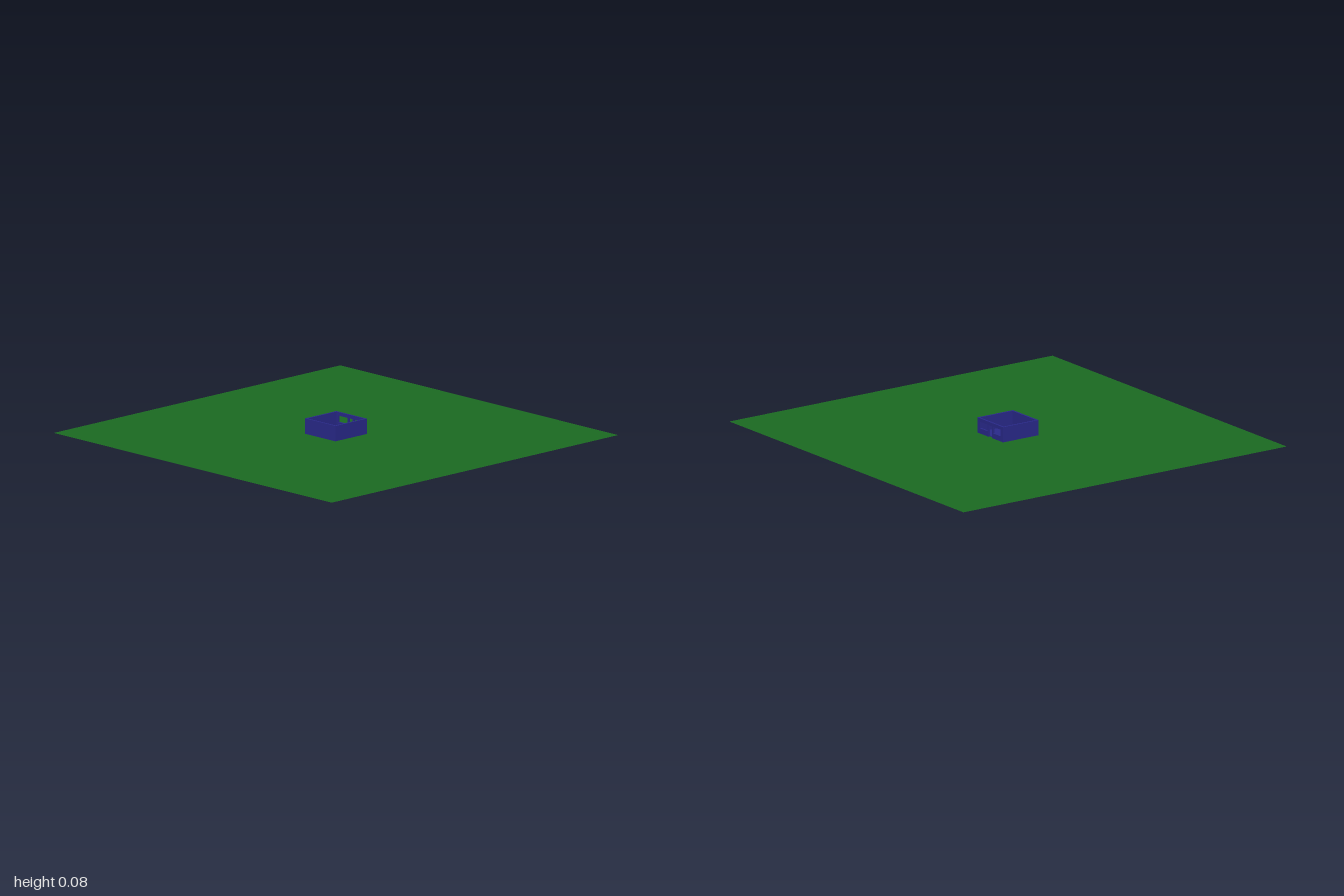
import * as THREE from 'three';

const SIZE = 0.22, HEIGHT = 0.08, WALL = 0.01, BASE = 0.001;

export function createModel() {
  const model = new THREE.Group();
  const green = new THREE.MeshStandardMaterial({ color: 0x1b6b22, side: THREE.DoubleSide });
  const blue = new THREE.MeshStandardMaterial({ color: 0x2a2a8c });

  const add = (name, geometry, material, x = 0, y = 0, z = 0) => {
    const mesh = new THREE.Mesh(geometry, material);
    mesh.name = name;
    mesh.position.set(x, y, z);
    model.add(mesh);
    return mesh;
  };

  // Flat lawn
  add('ground', new THREE.PlaneGeometry(2, 2).rotateX(-Math.PI / 2), green);

  // Floor slab, lifted just clear of the lawn
  const inner = SIZE - 2 * WALL;
  add('floor', new THREE.BoxGeometry(inner, 0.004, inner), blue, 0, BASE + 0.002, 0);

  // Plain walls: front, back and the right-hand side (-x)
  const wallHeight = HEIGHT - BASE, midY = BASE + wallHeight / 2;
  const offset = (SIZE - WALL) / 2;
  for (const [name, s] of [['frontWall', 1], ['backWall', -1]])
    add(name, new THREE.BoxGeometry(SIZE, wallHeight, WALL), blue, 0, midY, s * offset);
  add('plainSideWall', new THREE.BoxGeometry(WALL, wallHeight, inner), blue, -offset, midY, 0);

  // Side wall with a doorway notch and two window holes
  const h = inner / 2, door = 0.014, doorTop = 0.062;
  const shape = new THREE.Shape([
    [-h, BASE], [-door, BASE], [-door, doorTop], [door, doorTop],
    [door, BASE], [h, BASE], [h, HEIGHT], [-h, HEIGHT],
  ].map(([x, y]) => new THREE.Vector2(x, y)));
  for (const s of [-1, 1]) {
    const corners = [[0.022, 0.028], [0.022, 0.062], [0.088, 0.062], [0.088, 0.028]];
    shape.holes.push(new THREE.Path(corners.map(([x, y]) => new THREE.Vector2(s * x, y))));
  }
  const doorWall = new THREE.ExtrudeGeometry(shape, { depth: WALL, bevelEnabled: false });
  doorWall.rotateY(Math.PI / 2);
  add('doorWall', doorWall, blue, SIZE / 2 - WALL, 0, 0);

  return model;
}
